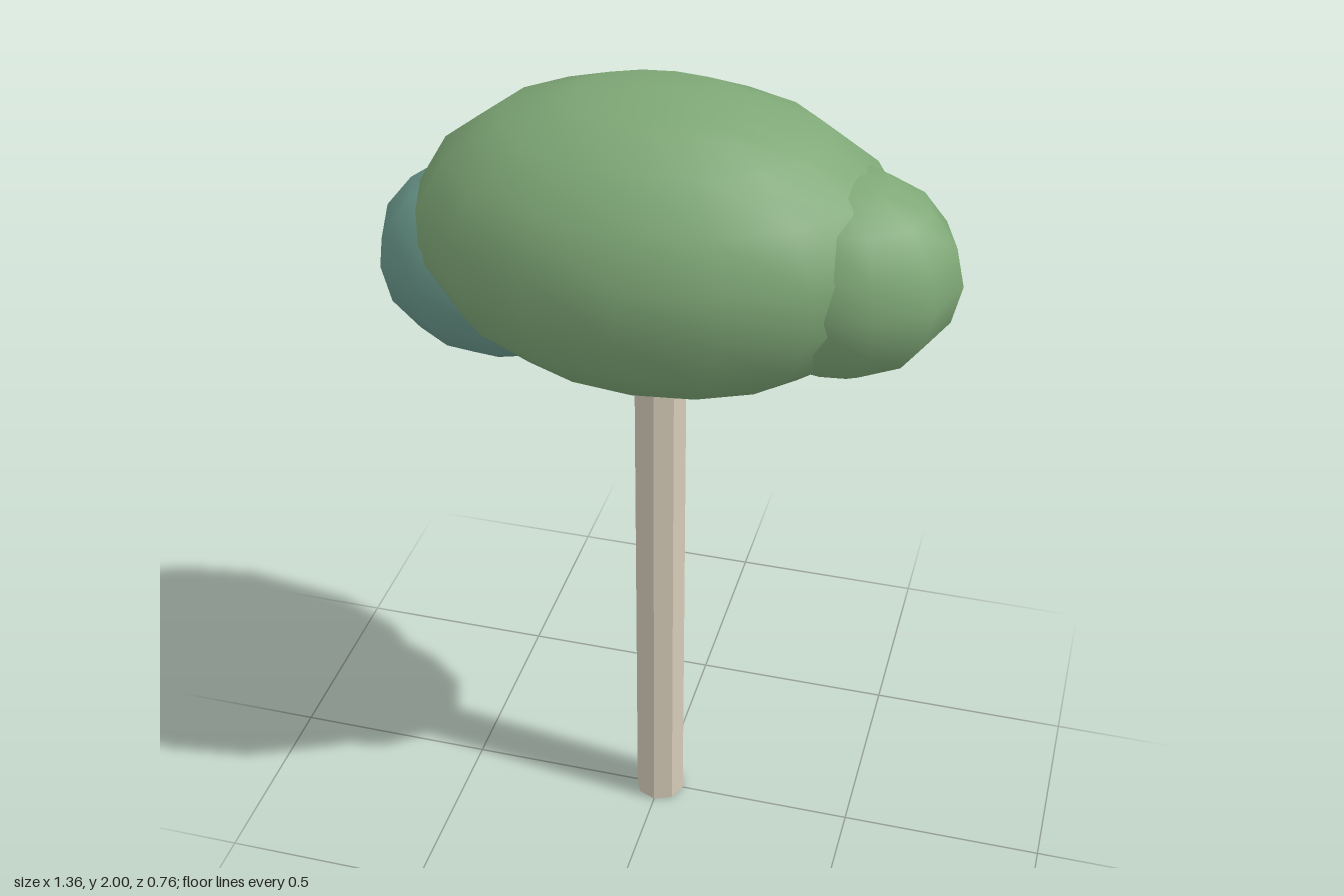
import * as THREE from 'three';

const bark = new THREE.MeshStandardMaterial({ color: 0xd6ccb8, flatShading: true });
const green = new THREE.MeshStandardMaterial({ color: 0x7fa877 });
const teal = new THREE.MeshStandardMaterial({ color: 0x6b9a8d });

// Smooth ellipsoid of leaves; phi turns the first meridian towards -x (0) or +x (PI)
function foliage(name, material, center, radii, widthSegs, heightSegs, phi = 0) {
  const mesh = new THREE.Mesh(new THREE.SphereGeometry(1, widthSegs, heightSegs, phi), material);
  mesh.name = name;
  mesh.position.set(...center);
  mesh.scale.set(...radii);
  return mesh;
}

// Straight tapered limb between two points
function limb(name, from, to, rBottom, rTop, sides) {
  const a = new THREE.Vector3(...from);
  const dir = new THREE.Vector3(...to).sub(a);
  const geo = new THREE.CylinderGeometry(rTop, rBottom, dir.length(), sides);
  const mesh = new THREE.Mesh(geo, bark);
  mesh.name = name;
  mesh.position.copy(a).addScaledVector(dir, 0.5);
  mesh.quaternion.setFromUnitVectors(new THREE.Vector3(0, 1, 0), dir.normalize());
  return mesh;
}

export function createModel() {
  const tree = new THREE.Group();
  tree.name = 'tree';

  // Octagonal trunk and two short branches reaching into the crown
  tree.add(limb('trunk', [0, 0, 0], [0, 1.5, 0], 0.062, 0.062, 8));
  for (const [side, name] of [[1, 'leftBranch'], [-1, 'rightBranch']]) {
    tree.add(limb(name, [0, 1.21, 0], [side * 0.2, 1.46, 0], 0.032, 0.03, 6));
  }

  // Large crown with a smaller clump at each end
  tree.add(foliage('crown', green, [0, 1.65, 0], [0.567, 0.35, 0.386], 16, 9));
  tree.add(foliage('leftClump', green, [0.405, 1.628, 0.022], [0.271, 0.237, 0.233], 11, 8, Math.PI));
  tree.add(foliage('rightClump', teal, [-0.39, 1.525, -0.035], [0.29, 0.24, 0.233], 11, 8));

  return tree;
}
